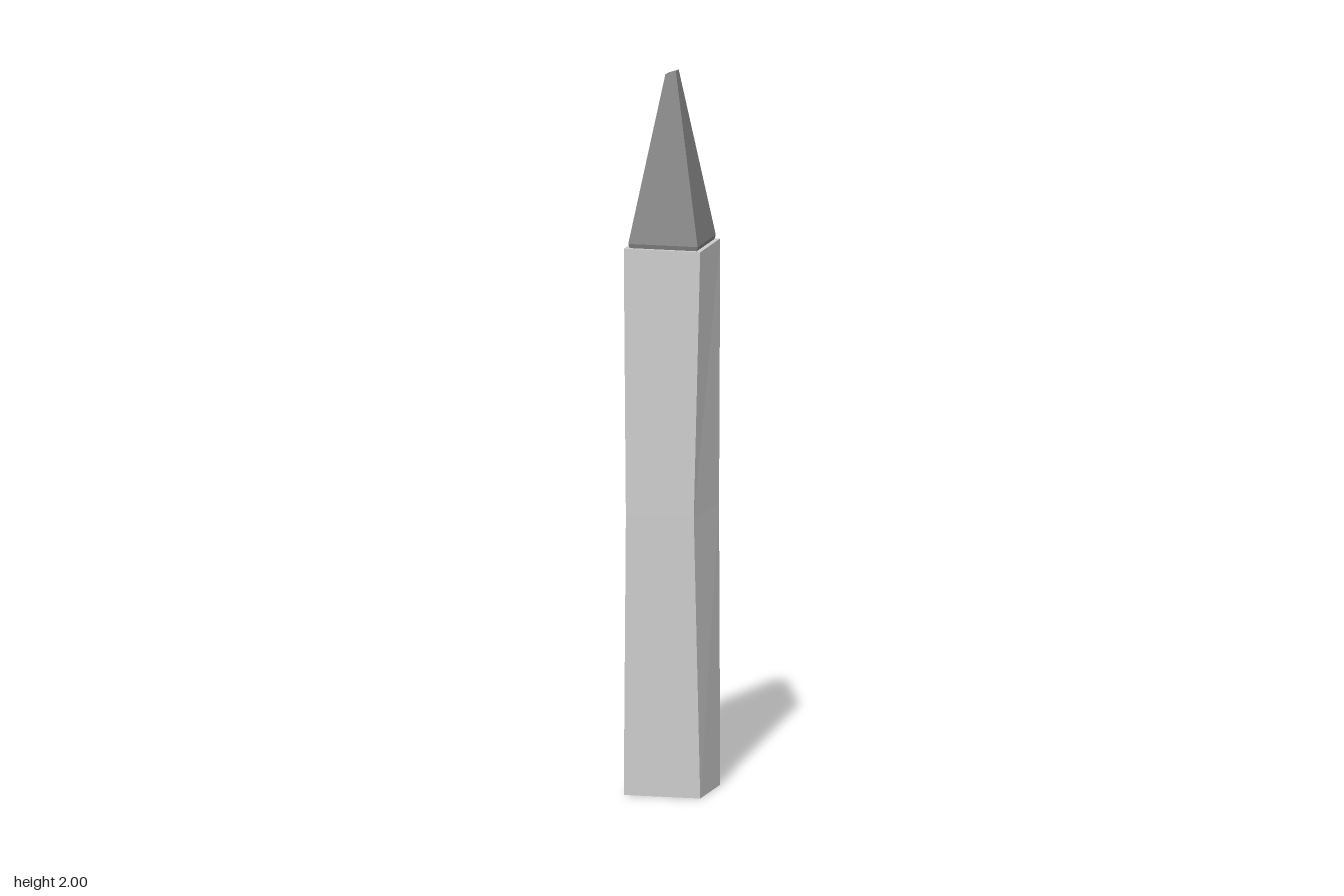
import * as THREE from 'three';

// Closed solid from four-cornered rings, bottom to top.
// Corner order: (-x,+z), (+x,+z), (+x,-z), (-x,-z)
function loft(rings) {
  const pos = [];
  const quad = (a, b, c, d) => [a, b, c, a, c, d].forEach((p) => pos.push(...p));
  for (let i = 0; i < rings.length - 1; i++) {
    for (let k = 0; k < 4; k++) {
      const n = (k + 1) % 4;
      quad(rings[i][k], rings[i][n], rings[i + 1][n], rings[i + 1][k]);
    }
  }
  quad(...[...rings[0]].reverse());
  quad(...rings[rings.length - 1]);
  const geo = new THREE.BufferGeometry();
  geo.setAttribute('position', new THREE.Float32BufferAttribute(pos, 3));
  geo.computeVertexNormals();
  return geo;
}

// Square ring at height y
const square = (y, h) => [[-h, y, h], [h, y, h], [h, y, -h], [-h, y, -h]];

export function createModel() {
  const group = new THREE.Group();
  const add = (name, rings, color) => {
    const material = new THREE.MeshStandardMaterial({ color, flatShading: true });
    const mesh = new THREE.Mesh(loft(rings), material);
    mesh.name = name;
    group.add(mesh);
  };

  // Post with an uneven, hand-hewn middle
  const middle = [
    [-0.1, 0.78, 0.116], [0.092, 0.78, 0.116],
    [0.102, 0.78, -0.118], [-0.104, 0.78, -0.118],
  ];
  add('post', [square(0, 0.108), middle, square(1.518, 0.108)], 0xcccccc);

  // Darker spike with a short collar and a slightly slanted blunt top
  const top = square(2, 0.015);
  top[0][1] = top[3][1] = 1.99;
  add('spike', [square(1.515, 0.094), square(1.53, 0.098), top], 0x868686);

  return group;
}
